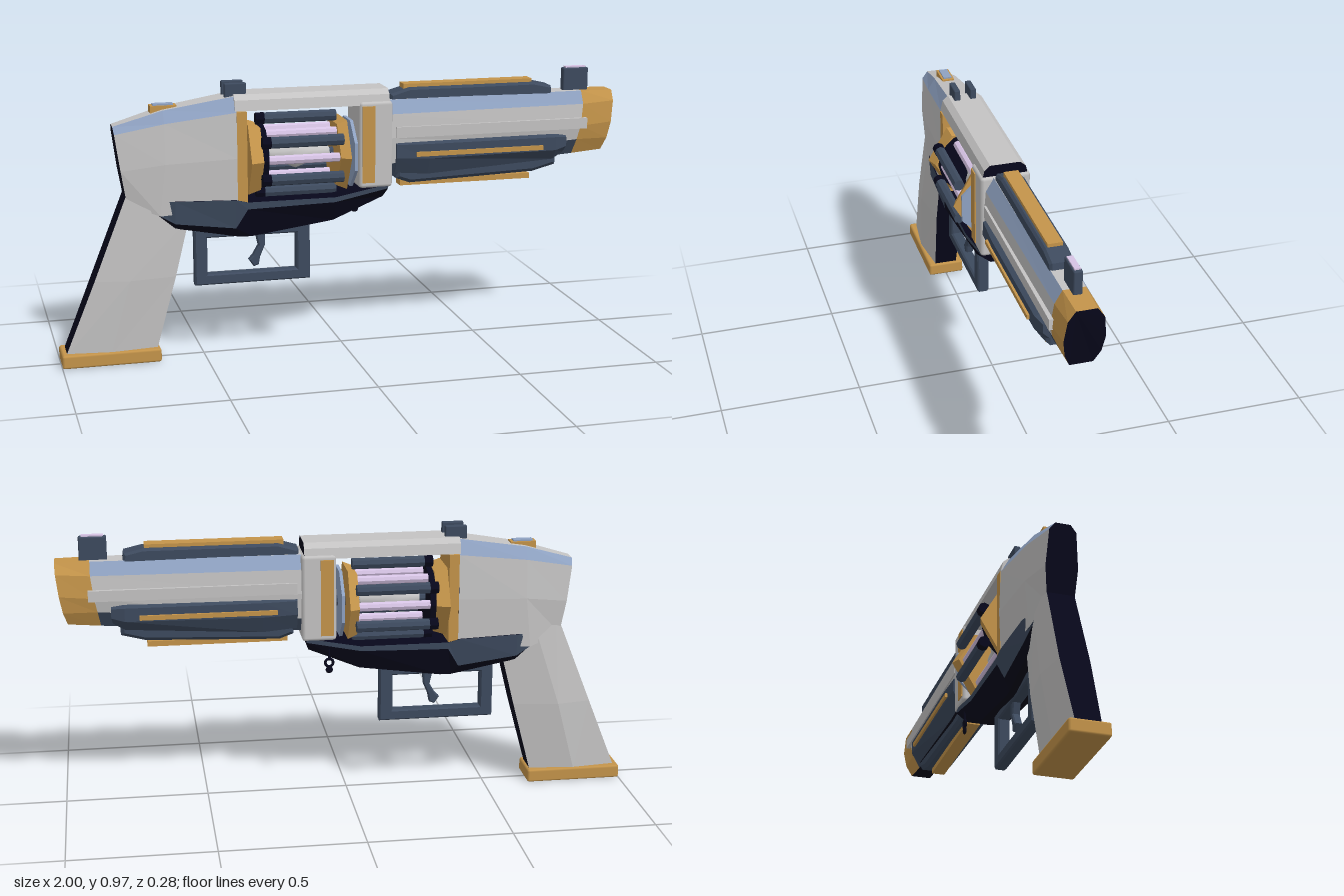
import * as THREE from 'three';
import { RoundedBoxGeometry } from 'three/addons/geometries/RoundedBoxGeometry.js';

const mat = (name, color) => new THREE.MeshStandardMaterial({ name, color });

export function createModel() {
  const model = new THREE.Group();
  model.name = 'revolver';
  const grey = mat('light grey', 0xc4c3c3), blue = mat('blue grey', 0x8fa2c2);
  const slate = mat('slate', 0x3d4a5e), gold = mat('gold', 0xc4944a);
  const navy = mat('navy', 0x07071b), lilac = mat('lilac', 0xd6c3e4);

  const add = (name, geo, material, x = 0, y = 0, z = 0, parent = model) => {
    const m = new THREE.Mesh(geo, material);
    m.name = name;
    m.position.set(x, y, z);
    parent.add(m);
    return m;
  };
  // Box given by its limits, symmetric in z, with an optional edge radius
  const box = (name, m, x0, x1, y0, y1, half, r = 0) => {
    const size = [x1 - x0, y1 - y0, 2 * half];
    const geo = r ? new RoundedBoxGeometry(...size, 1, r) : new THREE.BoxGeometry(...size);
    return add(name, geo, m, (x0 + x1) / 2, (y0 + y1) / 2);
  };
  // Side outline extruded symmetrically in z with a bevel
  const plate = (name, m, pts, half, bevel = 0.008) => {
    const geo = new THREE.ExtrudeGeometry(new THREE.Shape(pts.map(p => new THREE.Vector2(...p))), {
      depth: 2 * (half - bevel), bevelEnabled: true, bevelThickness: bevel, bevelSize: bevel,
      bevelOffset: -bevel, bevelSegments: 1, curveSegments: 6 });
    return add(name, geo.translate(0, 0, bevel - half), m);
  };
  // Mirrored loft: each station lists half-section points [x, y, z];
  // strips = [first edge, sides..., last edge], caps = [start, end]
  const loft = (name, stations, strips, caps) => {
    const rings = stations.map(s => [...s, ...[...s].reverse().map(([x, y, z]) => [x, y, -z])]);
    const n = stations[0].length, N = 2 * n, bins = new Map();
    const tri = (m, ...ps) => {
      if (!bins.has(m)) bins.set(m, []);
      bins.get(m).push(...ps.flat());
    };
    for (let k = 0; k + 1 < rings.length; k++) {
      const [p, q] = [rings[k], rings[k + 1]];
      for (let i = 0; i < N; i++) {
        const j = (i + 1) % N;
        const m = strips[i === N - 1 ? 0 : i < n ? i + 1 : N - 1 - i];
        tri(m, p[i], p[j], q[j]);
        tri(m, p[i], q[j], q[i]);
      }
    }
    const a = rings[0], b = rings[rings.length - 1];
    for (let i = 1; i < N - 1; i++) {
      tri(caps[0], a[0], a[i + 1], a[i]);
      tri(caps[1], b[0], b[i], b[i + 1]);
    }
    const geo = new THREE.BufferGeometry(), all = [], mats = [];
    for (const [m, v] of bins) {
      geo.addGroup(all.length / 3, v.length / 3, mats.length);
      mats.push(m);
      for (const c of v) all.push(c);
    }
    geo.setAttribute('position', new THREE.Float32BufferAttribute(all, 3));
    geo.computeVertexNormals();
    return add(name, geo, mats);
  };

  // Grip, lofted downwards with front edge first
  loft('grip', [
    [[-0.55, 0.5, 0.046], [-0.68, 0.55, 0.062], [-0.745, 0.64, 0.046]],
    [[-0.6, 0.3, 0.05], [-0.76, 0.3, 0.071], [-0.88, 0.3, 0.05]],
    [[-0.67, 0.04, 0.042], [-0.83, 0.04, 0.06], [-0.985, 0.04, 0.042]],
  ], [navy, grey, grey, navy], [grey, grey]);
  box('gripCap', gold, -1, -0.658, 0, 0.048, 0.068, 0.008);

  // Rear frame
  loft('rearFrame', [
    [[-0.8, 0.83, 0.026], [-0.797, 0.805, 0.046], [-0.78, 0.68, 0.055], [-0.76, 0.56, 0.045]],
    [[-0.63, 0.88, 0.04], [-0.63, 0.838, 0.066], [-0.63, 0.7, 0.075], [-0.65, 0.52, 0.068]],
    [[-0.385, 0.92, 0.052], [-0.385, 0.868, 0.08], [-0.385, 0.71, 0.086], [-0.385, 0.54, 0.08]],
  ], [grey, blue, grey, grey, slate], [navy, navy]);
  box('rearPost', gold, -0.385, -0.35, 0.55, 0.87, 0.083);
  box('hammer', gold, -0.67, -0.58, 0.85, 0.893, 0.022);
  box('hammerTop', blue, -0.66, -0.59, 0.892, 0.898, 0.015);

  // Lower frame
  loft('lowerFrame', [
    [[-0.68, 0.57, 0.055], [-0.67, 0.53, 0.058], [-0.665, 0.52, 0.045]],
    [[-0.6, 0.57, 0.076], [-0.6, 0.49, 0.07], [-0.6, 0.47, 0.05]],
    [[-0.39, 0.565, 0.085], [-0.39, 0.462, 0.07], [-0.37, 0.425, 0.046]],
    [[-0.35, 0.555, 0.085], [-0.35, 0.53, 0.083], [-0.33, 0.425, 0.046]],
    [[-0.04, 0.555, 0.085], [-0.04, 0.537, 0.083], [-0.04, 0.465, 0.046]],
    [[0.15, 0.59, 0.083], [0.15, 0.575, 0.081], [0.14, 0.54, 0.046]],
  ], [navy, slate, navy, navy], [navy, navy]);

  // Top strap and front block
  loft('topStrap', [-0.39, 0.155].map(x =>
    [[x, 0.925, 0.052], [x, 0.908, 0.072], [x, 0.872, 0.08]]),
  [grey, grey, grey, grey], [grey, navy]);
  box('frontBlock', grey, 0.045, 0.165, 0.58, 0.885, 0.087, 0.012);
  box('frontPost', gold, 0.055, 0.1, 0.6, 0.87, 0.091);

  // Cylinder with six rods, six inner tubes and a spindle, axis along x
  const cylinder = new THREE.Group();
  cylinder.name = 'cylinder';
  cylinder.position.y = 0.7;
  model.add(cylinder);
  const round = (name, m, r0, r1, x0, x1, sides, y = 0, z = 0, turn = 0) => add(name,
    new THREE.CylinderGeometry(r0, r1, x1 - x0, sides).rotateY(turn).rotateZ(Math.PI / 2).toNonIndexed(),
    m, (x0 + x1) / 2, y, z, cylinder).geometry.computeVertexNormals();
  round('rearPlate', gold, 0.14, 0.125, -0.345, -0.3, 6);
  round('rearHub', navy, 0.115, 0.115, -0.3, -0.28, 12);
  round('frontPlate', gold, 0.125, 0.14, -0.03, 0.004, 6);
  round('cylinderShield', blue, 0.126, 0.126, 0.02, 0.031, 8, 0, 0, Math.PI / 8);
  round('axle', slate, 0.018, 0.018, -0.35, 0.06, 10);
  for (let i = 0; i < 6; i++) {
    const a = (i + 0.5) * Math.PI / 3, s = Math.sin(a), c = Math.cos(a);
    round('rod', slate, 0.02, 0.02, -0.275, -0.02, 8, 0.13 * s, 0.13 * c);
    round('rodCap', navy, 0.021, 0.021, -0.305, -0.275, 8, 0.13 * s, 0.13 * c);
    const b = i * Math.PI / 3;
    round('innerTube', lilac, 0.016, 0.016, -0.28, -0.03, 8, 0.095 * Math.sin(b), 0.095 * Math.cos(b));
  }
  const spindle = [[0, -0.28], [0.025, -0.25], [0.03, -0.21], [0.05, -0.165], [0.03, -0.11], [0.025, -0.05], [0, -0.03]];
  add('spindle', new THREE.LatheGeometry(spindle.map(p => new THREE.Vector2(...p)), 12)
    .rotateZ(-Math.PI / 2), grey, 0, 0, 0, cylinder);

  // Barrel and muzzle
  const joint = [[0.88, 0.882, 0.037], [0.88, 0.838, 0.062], [0.87, 0.76, 0.07], [0.86, 0.71, 0.06], [0.85, 0.655, 0.036]];
  loft('barrel', [
    [[0.16, 0.882, 0.042], [0.16, 0.835, 0.07], [0.16, 0.75, 0.077], [0.16, 0.66, 0.07], [0.16, 0.61, 0.042]],
    joint,
  ], [grey, blue, grey, grey, slate, navy], [navy, navy]);
  loft('muzzle', [
    joint,
    [[0.998, 0.88, 0.034], [0.996, 0.845, 0.058], [0.987, 0.77, 0.067], [0.976, 0.71, 0.058], [0.962, 0.665, 0.038]],
  ], [gold, gold, gold, gold, gold, navy], [gold, navy]);
  box('sideRail', grey, 0.18, 0.89, 0.752, 0.79, 0.081);

  // Barrel fins, rails and gold inlays
  loft('sideFin', [
    [[0.18, 0.735, 0.07], [0.18, 0.728, 0.084], [0.18, 0.68, 0.086], [0.18, 0.625, 0.06]],
    [[0.3, 0.735, 0.07], [0.3, 0.727, 0.09], [0.3, 0.675, 0.09], [0.3, 0.615, 0.062]],
    [[0.77, 0.735, 0.068], [0.77, 0.727, 0.088], [0.77, 0.68, 0.088], [0.77, 0.642, 0.055]],
    [[0.815, 0.73, 0.06], [0.815, 0.722, 0.074], [0.815, 0.69, 0.074], [0.81, 0.665, 0.05]],
  ], [slate, slate, slate, slate, navy], [slate, slate]);
  box('sideInlay', gold, 0.25, 0.72, 0.685, 0.701, 0.097);
  plate('lowerFin', slate, [[0.19, 0.65], [0.19, 0.6], [0.24, 0.582], [0.7, 0.598], [0.785, 0.62], [0.785, 0.66]], 0.052, 0.012);
  box('lowerInlay', gold, 0.21, 0.695, 0.569, 0.588, 0.025);
  plate('topRail', slate, [[0.17, 0.87], [0.77, 0.87], [0.765, 0.905], [0.7, 0.92], [0.24, 0.92], [0.17, 0.9]], 0.04);
  box('topInlay', gold, 0.22, 0.695, 0.915, 0.932, 0.025);

  // Sights
  box('frontSight', slate, 0.82, 0.915, 0.87, 0.962, 0.015, 0.005);
  box('frontSightInlay', lilac, 0.83, 0.905, 0.961, 0.967, 0.01);
  for (const s of [-1, 1]) {
    box('rearSight', slate, -0.418, -0.342, 0.9, 0.962, 0.011, 0.004).position.z = s * 0.029;
  }

  // Trigger guard and trigger
  const ring = (x0, x1, y0, y1) => [[x0, y0], [x1, y0], [x1, y1], [x0, y1]].map(p => new THREE.Vector2(...p));
  const guard = new THREE.Shape(ring(-0.523, -0.122, 0.256, 0.445));
  guard.holes.push(new THREE.Path(ring(-0.488, -0.16, 0.284, 0.425)));
  add('triggerGuard', new THREE.ExtrudeGeometry(guard, {
    depth: 0.03, bevelThickness: 0.006, bevelSize: 0.005, bevelSegments: 1 }).translate(0, 0, -0.015), slate);
  plate('trigger', slate, [[-0.315, 0.45], [-0.3, 0.38], [-0.32, 0.345], [-0.335, 0.33], [-0.318, 0.305], [-0.3, 0.312],
    [-0.295, 0.34], [-0.278, 0.38], [-0.275, 0.45]], 0.014, 0.004);

  // Small hanging charm
  add('charmRing', new THREE.TorusGeometry(0.014, 0.005, 6, 12), navy, 0.07, 0.497, -0.073);
  add('charmBead', new THREE.SphereGeometry(0.013, 10, 8).scale(1, 1, 0.5), navy, 0.07, 0.471, -0.073);
  add('charmLink', new THREE.CylinderGeometry(0.004, 0.004, 0.06, 6), navy, 0.07, 0.535, -0.073);

  return model;
}
